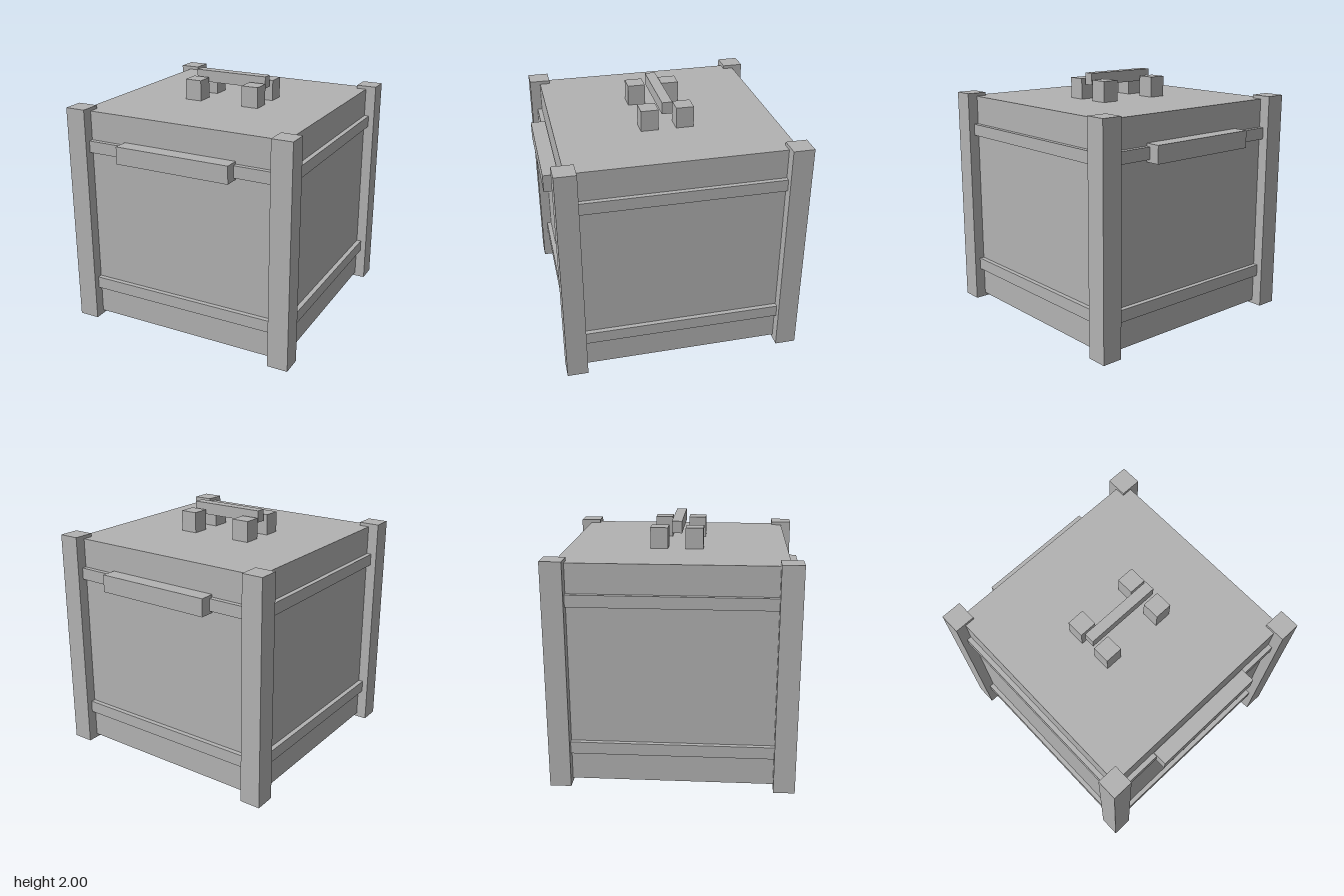
import * as THREE from 'three';

export function createModel() {
  const model = new THREE.Group();
  model.name = 'crate';
  const grey = new THREE.MeshStandardMaterial({ color: 0xb2b2b2 });
  grey.name = 'plain grey';

  // Box given by its extents on each axis
  const box = (name, [x0, x1], [y0, y1], [z0, z1]) => {
    const mesh = new THREE.Mesh(new THREE.BoxGeometry(x1 - x0, y1 - y0, z1 - z0), grey);
    mesh.name = name;
    mesh.position.set((x0 + x1) / 2, (y0 + y1) / 2, (z0 + z1) / 2);
    model.add(mesh);
  };
  // Extent mirrored to the chosen side of the axis
  const side = (s, a, b) => (s > 0 ? [a, b] : [-b, -a]);

  box('body', [-0.875, 0.875], [0.03, 1.783], [-0.875, 0.875]);

  for (const s of [-1, 1]) {
    // Corner posts and lid handle blocks
    for (const t of [-1, 1]) {
      box('cornerPost', side(s, 0.793, 0.96), [0, 1.81], side(t, 0.793, 0.96));
      box('handleBlock', side(s, 0.185, 0.325), [1.775, 1.95], side(t, 0.07, 0.21));
    }
    // Lower and upper rails on all four sides
    for (const y of [[0.263, 0.36], [1.455, 1.55]]) {
      box('faceRail', [-0.793, 0.793], y, side(s, 0.86, 0.913));
      box('sideRail', side(s, 0.86, 0.913), y, [-0.793, 0.793]);
    }
    // Grips on the front and back
    box('grip', [-0.48, 0.48], [1.433, 1.573], side(s, 0.88, 1));
  }

  // Lid handle bar
  box('handleBar', [-0.31, 0.31], [1.905, 2], [-0.041, 0.041]);
  return model;
}
